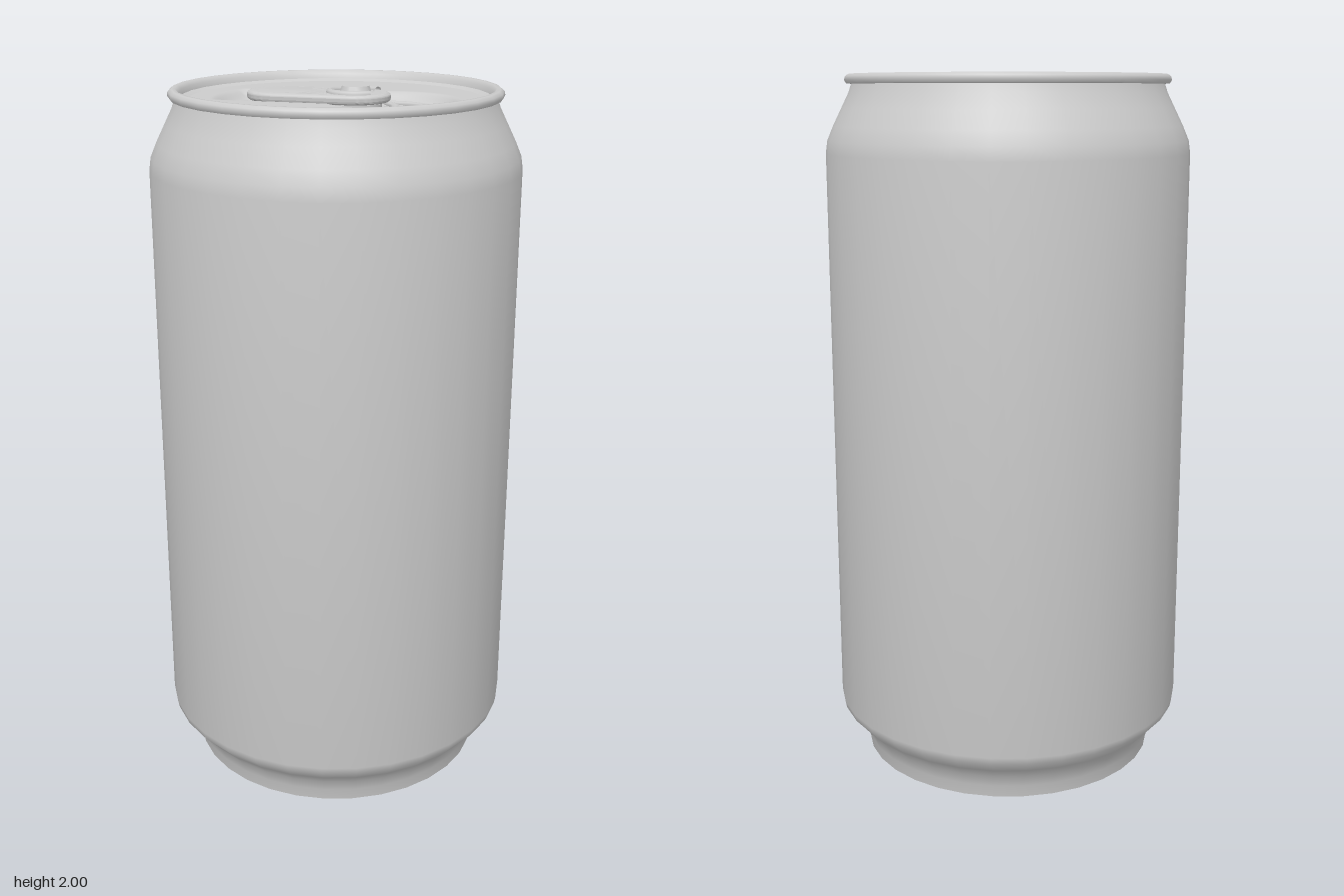
import * as THREE from 'three';
import { toCreasedNormals } from 'three/addons/utils/BufferGeometryUtils.js';

const PANEL_Y = 1.966, RECESS = 0.026;
const material = new THREE.MeshStandardMaterial({ color: 0xcccccc, side: THREE.DoubleSide });

function part(name, geometry) {
  const mesh = new THREE.Mesh(geometry, material);
  mesh.name = name;
  return mesh;
}

function lathe(points, segments) {
  return new THREE.LatheGeometry(points.map(([x, y]) => new THREE.Vector2(x, y)), segments);
}

// distance from the axis, along angle t, to the far side of a circle centred at (cx, 0)
function circleExit(t, cx, r) {
  const s = cx * Math.sin(t), q = r * r - s * s;
  return q < 0 ? 0 : cx * Math.cos(t) + Math.sqrt(q);
}

// keyhole outline of the lid recess, inset by d
function keyhole(t, d) {
  const bar = Math.min((0.13 - d) / Math.max(Math.abs(Math.sin(t)), 1e-4), circleExit(t, -0.05, 0.29 - 1.2 * d));
  return Math.max(bar, circleExit(t, 0.15, 0.19 - d));
}

// lid panel: rings running from the centre, up the recess wall, out to the rim
function panelGeometry() {
  const n = 128, wall = 0.038, steps = 6;
  const rings = [{ r: t => 0.5 * keyhole(t, wall), y: PANEL_Y - RECESS }];
  for (let k = steps; k >= 0; k--) {
    const f = k / steps;
    rings.push({ r: t => keyhole(t, wall * f), y: PANEL_Y - RECESS * f * f * (3 - 2 * f) });
  }
  rings.push({ r: t => keyhole(t, -0.006), y: PANEL_Y }, { r: () => 0.395, y: PANEL_Y }, { r: () => 0.403, y: PANEL_Y });
  const pos = [0, PANEL_Y - RECESS, 0], index = [];
  rings.forEach(({ r, y }, k) => {
    for (let i = 0; i < n; i++) {
      const t = (i / n) * Math.PI * 2, j = (i + 1) % n;
      pos.push(r(t) * Math.cos(t), y, -r(t) * Math.sin(t));
      const c = 1 + k * n + i, d = 1 + k * n + j;
      if (k === 0) index.push(0, c, d);
      else index.push(c - n, c, d, c - n, d, d - n);
    }
  });
  const g = new THREE.BufferGeometry();
  g.setAttribute('position', new THREE.Float32BufferAttribute(pos, 3));
  g.setIndex(index);
  g.computeVertexNormals();
  return g;
}

// pull tab: rounded plate with a finger hole and a round rivet hole
function tabGeometry() {
  const shape = new THREE.Shape();
  shape.absarc(-0.155, 0, 0.095, Math.PI / 2, Math.PI * 1.5);
  shape.absarc(0.055, 0, 0.095, -Math.PI / 2, Math.PI / 2);
  shape.closePath();
  const finger = new THREE.Path();
  finger.moveTo(-0.19, -0.055);
  finger.quadraticCurveTo(-0.22, 0, -0.19, 0.055);
  finger.lineTo(-0.1, 0.055);
  finger.quadraticCurveTo(-0.07, 0, -0.1, -0.055);
  finger.closePath();
  const round = new THREE.Path();
  round.absarc(0.055, 0, 0.07, 0, Math.PI * 2, true);
  shape.holes.push(finger, round);
  const g = new THREE.ExtrudeGeometry(shape, {
    depth: 0.008, bevelThickness: 0.009, bevelSize: 0.014, bevelOffset: -0.014, bevelSegments: 3, curveSegments: 20,
  });
  g.rotateX(-Math.PI / 2);
  return toCreasedNormals(g, 0.7);
}

// raised bead around the mouth: an arc closed by a shallow curve beside the tab
function mouthBeadGeometry() {
  const pts = [];
  for (let i = 0; i <= 14; i++) {
    const t = (-105 + 15 * i) * Math.PI / 180;
    pts.push(new THREE.Vector3(0.15 + 0.105 * Math.cos(t), 0, 0.105 * Math.sin(t)));
  }
  for (const z of [0.055, 0, -0.055]) pts.push(new THREE.Vector3(0.165 - 5 * z * z, 0, z));
  const g = new THREE.TubeGeometry(new THREE.CatmullRomCurve3(pts, true), 72, 0.013, 8, true);
  return g.scale(1, 0.6, 1);
}

export function createModel() {
  const can = new THREE.Group();
  can.name = 'drinkCan';

  // domed base, foot, straight wall, shoulder and neck
  can.add(part('body', toCreasedNormals(lathe([
    [0, 0.06], [0.14, 0.054], [0.26, 0.038], [0.36, 0.015], [0.41, 0], [0.43, 0.004],
    [0.436, 0.04], [0.447, 0.075], [0.475, 0.108], [0.508, 0.145], [0.512, 0.165],
    [0.512, 1.78], [0.507, 1.815], [0.49, 1.855], [0.465, 1.905], [0.445, 1.945], [0.436, 1.972],
  ], 32), 0.8)));

  // rolled rim stepping down to the lid
  can.add(part('rim', toCreasedNormals(lathe([
    [0.432, 1.968], [0.45, 1.969], [0.456, 1.978], [0.454, 1.988], [0.445, 1.995],
    [0.434, 1.995], [0.425, 1.985], [0.421, 1.972], [0.396, 1.964],
  ], 32), 0.9)));

  can.add(part('lidPanel', panelGeometry()));

  const bead = part('mouthBead', mouthBeadGeometry());
  bead.position.y = PANEL_Y - RECESS + 0.002;
  can.add(bead);

  const tab = part('pullTab', tabGeometry());
  tab.position.y = 1.966;
  can.add(tab);

  // open collar around the rivet, with its gap towards the mouth
  const collar = new THREE.TorusGeometry(0.07, 0.011, 8, 36, Math.PI * 1.5);
  collar.rotateZ(Math.PI / 4).rotateX(-Math.PI / 2);
  const collarMesh = part('rivetCollar', collar);
  collarMesh.position.set(0.055, 1.982, 0);
  can.add(collarMesh);

  // stepped rivet
  const rivet = part('rivet', toCreasedNormals(lathe([
    [0.072, 1.94], [0.072, 1.972], [0.056, 1.972], [0.053, 1.982], [0.042, 1.987], [0.037, 2], [0, 2],
  ], 32), 0.5));
  rivet.position.x = 0.055;
  can.add(rivet);

  return can;
}
